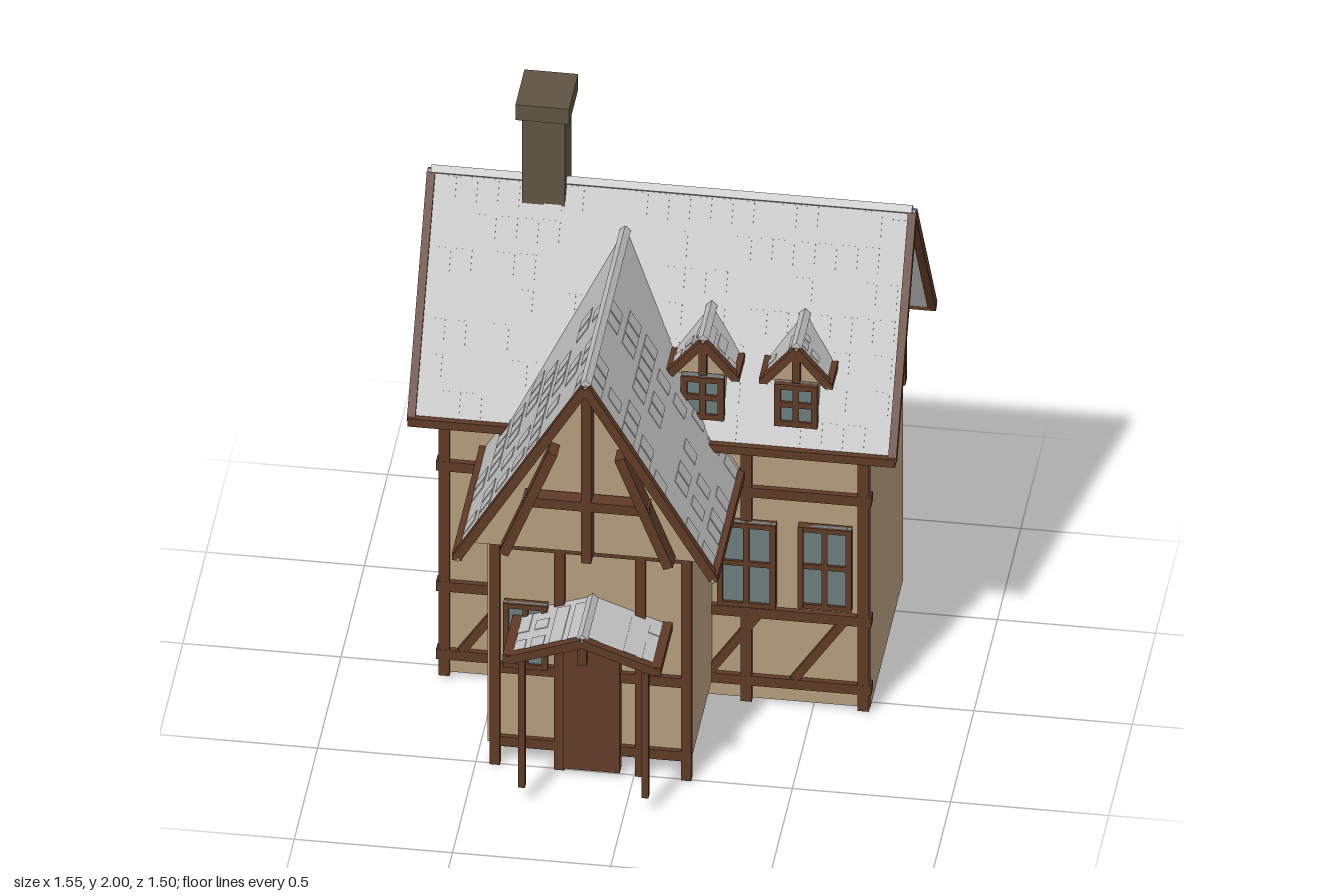
import * as THREE from 'three';
import { mergeGeometries } from 'three/addons/utils/BufferGeometryUtils.js';

const mat = (name, color) => {
  const m = new THREE.MeshStandardMaterial({ color });
  m.name = name;
  return m;
};

export function createModel() {
  const plaster = mat('plaster', 0xb39d7c);
  const timber = mat('timber', 0x5e3a26);
  const doorWood = mat('door wood', 0x613d2a);
  const slate = mat('slate grey', 0xc0c0c0);
  const stone = mat('chimney stone', 0x5f5442);
  const glass = mat('window glass', 0x6b7c7d);

  const house = new THREE.Group();
  house.name = 'house';
  let seed = 7;
  const rand = () => (seed = (seed * 16807) % 2147483647) / 2147483647;

  const group = (name, parent = house) => {
    const g = new THREE.Group();
    g.name = name;
    parent.add(g);
    return g;
  };
  const add = (parent, name, geometry, material) => {
    const m = new THREE.Mesh(geometry, material);
    m.name = name;
    parent.add(m);
    return m;
  };
  // Box given by its limits on each axis
  const box = (parent, name, material, x0, x1, y0, y1, z0, z1) => {
    const m = add(parent, name, new THREE.BoxGeometry(x1 - x0, y1 - y0, z1 - z0), material);
    m.position.set((x0 + x1) / 2, (y0 + y1) / 2, (z0 + z1) / 2);
    return m;
  };
  // Straight timber between two points of a facade plane
  const beam = (parent, name, x0, y0, x1, y1, z, w = 0.035, d = 0.03) => {
    const m = add(parent, name, new THREE.BoxGeometry(w, Math.hypot(x1 - x0, y1 - y0), d), timber);
    m.position.set((x0 + x1) / 2, (y0 + y1) / 2, z);
    m.rotation.z = Math.atan2(x0 - x1, y1 - y0);
    return m;
  };
  const extrude = (points, depth) => new THREE.ExtrudeGeometry(
    new THREE.Shape(points.map(([x, y]) => new THREE.Vector2(x, y))), { depth, bevelEnabled: false });

  // Gabled roof: ridge along z from 0 back to -length
  const roof = (name, { half, eave, ridge, length, t = 0.03, board = 0.03, ends = [0],
    eaveLength = length, rows, cols, tileLength = length }) => {
    const g = group(name);
    const rise = ridge - eave, slope = Math.hypot(half, rise), angle = Math.atan2(rise, half);
    add(g, 'roofSlab', extrude([[-half, eave], [-half, eave - t], [0, ridge - t],
      [half, eave - t], [half, eave], [0, ridge]], length), slate).position.z = -length;
    const cap = add(g, 'ridgeCap', new THREE.BoxGeometry(0.025, 0.025, length - 0.02), slate);
    cap.position.set(0, ridge, -length / 2);
    cap.rotation.z = Math.PI / 4;
    const tiles = [];
    for (const s of [-1, 1]) {
      for (const z of ends) {
        beam(g, 'rakeBoard', s * half, eave - board * 0.35, 0, ridge - board * 0.35, z === 0 ? -0.01 : z + 0.01, board, 0.026);
      }
      box(g, 'eaveBoard', timber, s * half - board / 2, s * half + board / 2,
        eave - board * 0.7, eave + board * 0.3, -eaveLength, 0);
      // Scattered thin slates, laid in courses
      for (let r = 0; r < rows; r++) {
        for (let c = 0; c < cols; c++) {
          if (rand() < 0.45) continue;
          const f = (r + 0.5) / rows;
          const tile = new THREE.BoxGeometry(slope / rows * 0.7, 0.005, tileLength / cols * 0.8);
          tile.rotateZ(-s * angle);
          tile.translate(s * half * f, ridge - rise * f, -0.03 - (tileLength - 0.06) * (c + 0.5) / cols);
          tiles.push(tile);
        }
      }
    }
    add(g, 'slates', mergeGeometries(tiles), slate);
    return g;
  };
  // Triangular wall that fits under a roof
  const gable = (parent, half, eave, ridge, z, t = 0.03, depth = 0.02) => {
    const w = half * (1 - t / (ridge - eave));
    add(parent, 'gableWall', extrude([[-w, eave], [w, eave], [0, ridge - t]], depth), plaster).position.z = z - depth;
  };
  // Casement with a frame, a mullion and a transom
  const windowUnit = (parent, x0, x1, y0, y1, z, f = 0.018) => {
    const g = group('window', parent), mid = (x0 + x1) / 2, bar = y0 + (y1 - y0) * 0.52;
    box(g, 'glass', glass, x0, x1, y0, y1, z - 0.01, z + 0.006);
    for (const x of [x0 + f / 2, mid, x1 - f / 2]) beam(g, 'frameUpright', x, y0, x, y1, z, f, 0.03);
    for (const y of [y0 + f / 2, bar, y1 - f / 2]) beam(g, 'frameRail', x0, y, x1, y, z, f, 0.028);
  };

  // Walls
  box(house, 'mainWalls', plaster, -0.68, 0.68, 0.02, 1.02, -0.65, 0.05);
  box(house, 'wingWalls', plaster, -0.475 + 0.01, 0.18, 0.08, 0.88, 0, 0.49);

  // Main roof, ridge running left to right
  const main = roof('mainRoof', { half: 0.43, eave: 1.025, ridge: 1.68, length: 1.54, ends: [0, -1.54], rows: 7, cols: 22 });
  main.rotation.y = Math.PI / 2;
  main.position.set(0.77, 0, -0.31);
  for (const [z, post] of [[-0.08, -0.055], [-1.44, -1.485]]) {
    gable(main, 0.43, 1.02, 1.68, z);
    beam(main, 'kingPost', 0, 1.02, 0, 1.65, post, 0.04, 0.05);
  }

  // Front wing roof and its timbered gable
  const wing = roof('wingRoof', { half: 0.405, eave: 0.885, ridge: 1.57, length: 0.87, eaveLength: 0.6, rows: 8, cols: 9, tileLength: 0.6 });
  wing.position.set(-0.135, 0, 0.635);
  gable(wing, 0.405, 0.88, 1.57, -0.08, 0.03, 0.06);
  beam(wing, 'kingPost', 0, 0.88, 0, 1.54, -0.05, 0.032, 0.06);
  beam(wing, 'collarBeam', -0.2, 1.095, 0.2, 1.095, -0.045, 0.035, 0.05);
  for (const s of [-1, 1]) beam(wing, 'gableBrace', s * 0.26, 0.89, s * 0.105, 1.29, -0.045, 0.032, 0.06);

  // Main front framing
  const frame = group('mainFraming');
  for (const x of [-0.665, 0.29, 0.66]) beam(frame, 'post', x, 0.015, x, 1.01, 0.055, 0.035, 0.025);
  for (const y of [0.095, 0.355, 0.815]) beam(frame, 'rail', -0.69, y, 0.685, y, 0.05, 0.036, 0.036);
  beam(frame, 'topRail', -0.68, 0.995, 0.68, 0.995, 0.055, 0.03, 0.024);
  for (const x of [-0.61, 0.17, 0.44]) beam(frame, 'brace', x, 0.11, x + 0.16, 0.35, 0.055, 0.028, 0.024);
  windowUnit(frame, 0.2, 0.385, 0.385, 0.705, 0.07);
  windowUnit(frame, 0.455, 0.625, 0.4, 0.71, 0.07);

  // Wing front framing, window and door
  const wingFrame = group('wingFraming');
  for (const x of [-0.44, -0.235, 0.02, 0.165]) beam(wingFrame, 'post', x, 0.005, x, 0.88, 0.495, 0.033, 0.025);
  for (const y of [0.095, 0.375, 0.85]) beam(wingFrame, 'rail', -0.455, y, 0.18, y, 0.495, 0.036, 0.022);
  windowUnit(wingFrame, -0.41, -0.27, 0.395, 0.64, 0.515);
  box(house, 'door', doorWood, -0.22, -0.042, 0.025, 0.52, 0.485, 0.525);

  // Porch
  const porch = roof('porchRoof', { half: 0.235, eave: 0.585, ridge: 0.67, length: 0.25, t: 0.02, rows: 4, cols: 4 });
  porch.position.set(-0.13, 0, 0.74);
  beam(porch, 'kingPost', 0, 0.575, 0, 0.66, -0.015, 0.03, 0.025);
  for (const s of [-1, 1]) {
    beam(porch, 'porchPost', s * 0.195, 0.07, s * 0.195, 0.585, -0.04, 0.022, 0.022);
  }

  // Dormers
  for (const x of [0.155, 0.45]) {
    const d = roof('dormer', { half: 0.103, eave: 1.265, ridge: 1.39, length: 0.21, t: 0.02, board: 0.026, eaveLength: 0.12, rows: 3, cols: 4, tileLength: 0.14 });
    d.position.set(x, 0, 0.085);
    gable(d, 0.103, 1.25, 1.39, -0.02, 0.02);
    box(d, 'dormerWalls', plaster, -0.065, 0.065, 1.09, 1.27, -0.16, -0.02);
    windowUnit(d, -0.068, 0.068, 1.095, 1.255, -0.008, 0.02);
    beam(d, 'kingPost', 0, 1.26, 0, 1.375, -0.012, 0.025, 0.025);
  }

  // Chimney
  const chimney = group('chimney');
  box(chimney, 'shaft', stone, -0.468, -0.332, 1.45, 1.95, -0.412, -0.265);
  box(chimney, 'cap', stone, -0.485, -0.315, 1.942, 2, -0.437, -0.243);

  return house;
}
